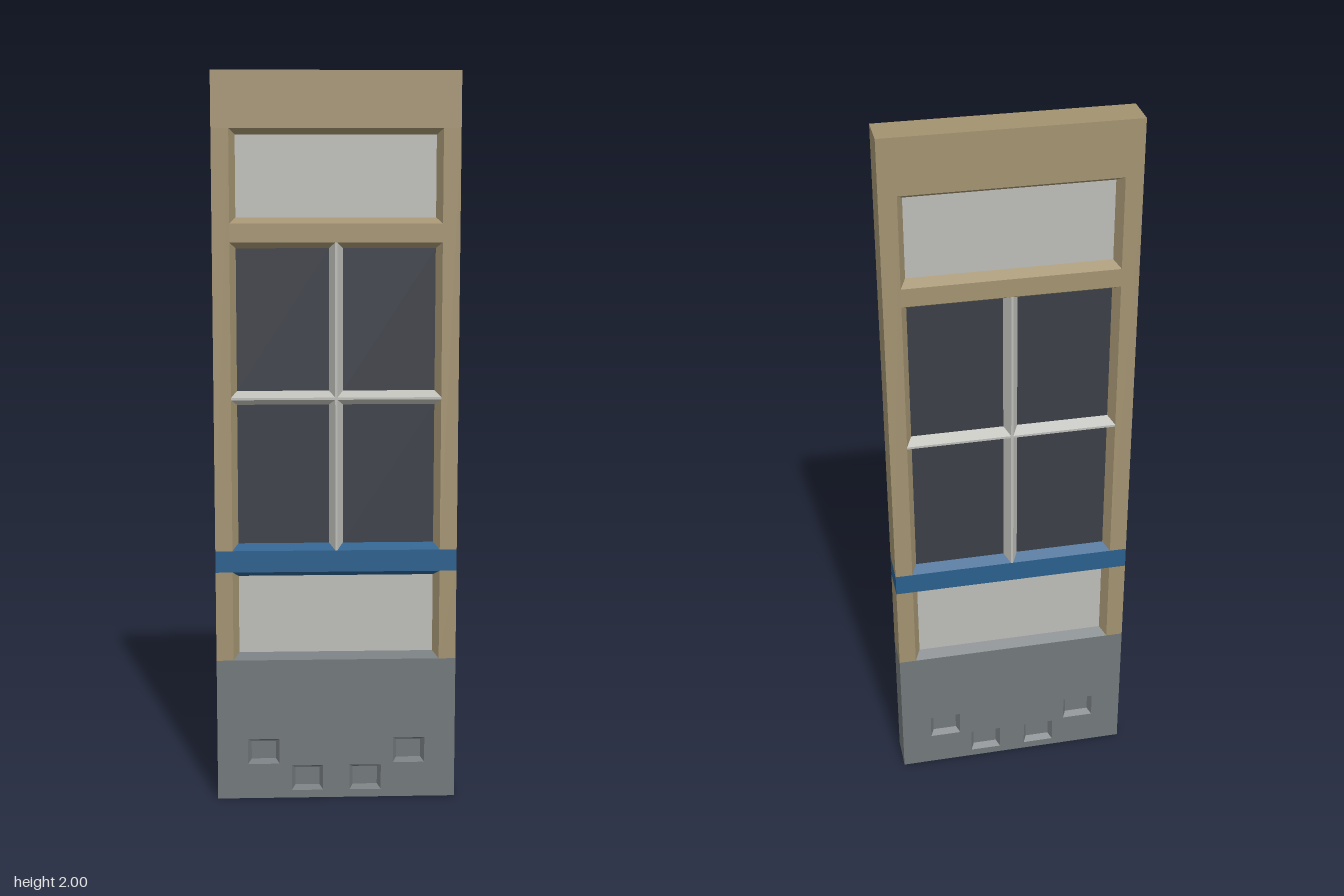
import * as THREE from 'three';

const W = 0.332, H = 2, Z = 0.05;      // half width, height, half thickness
const OX = 0.285;                       // half width of the openings
const BEVEL = 0.016, DEPTH = 0.028;     // sloped reveal around each opening

const mat = (name, color) => {
  const m = new THREE.MeshStandardMaterial({ color });
  m.name = name;
  return m;
};

export function createModel() {
  const tan = mat('tan frame', 0xa29270);
  const grey = mat('grey base', 0x72787b);
  const blue = mat('blue band', 0x2a5f8c);
  const white = mat('off-white panel', 0xbcbcb7);
  const glass = mat('dark glass', 0x3a3e46);

  const add = (parent, name, geometry, material) => {
    const m = new THREE.Mesh(geometry, material);
    m.name = name;
    parent.add(m);
    return m;
  };

  // Flat rectangle facing +z
  const rect = (parent, name, x0, x1, y0, y1, z, material) => {
    const m = add(parent, name, new THREE.PlaneGeometry(x1 - x0, y1 - y0), material);
    m.position.set((x0 + x1) / 2, (y0 + y1) / 2, z);
    return m;
  };

  // Recess with four mitred sloping reveals (bottom, right, top, left) and a back pane
  const opening = (parent, name, [x0, x1, y0, y1], reveals, pane, b = BEVEL, d = DEPTH) => {
    const g = new THREE.Group();
    g.name = name;
    parent.add(g);
    const corners = (i, z) => [
      [x0 + i, y0 + i, z], [x1 - i, y0 + i, z], [x1 - i, y1 - i, z], [x0 + i, y1 - i, z]];
    const outer = corners(0, Z), inner = corners(b, Z - d);
    ['bottom', 'right', 'top', 'left'].forEach((side, k) => {
      const n = (k + 1) % 4;
      const geo = new THREE.BufferGeometry();
      geo.setAttribute('position', new THREE.Float32BufferAttribute(
        [outer[k], outer[n], inner[n], inner[k]].flat(), 3));
      geo.setIndex([0, 1, 2, 0, 2, 3]);
      geo.computeVertexNormals();
      add(g, side + 'Reveal', geo, reveals[k]);
    });
    rect(g, 'pane', x0 + b, x1 - b, y0 + b, y1 - b, Z - d, pane);
  };

  const buildFace = (name) => {
    const f = new THREE.Group();
    f.name = name;

    // Frame rails and stiles
    rect(f, 'topRail', -W, W, 1.85, H, Z, tan);
    rect(f, 'middleRail', -OX, OX, 1.55, 1.6, Z, tan);
    rect(f, 'blueBand', -W, W, 0.65, 0.71, Z, blue);
    for (const [a, b, label] of [[-W, -OX, 'right'], [OX, W, 'left']]) {
      rect(f, label + 'UpperStile', a, b, 0.71, 1.85, Z, tan);
      rect(f, label + 'LowerStile', a, b, 0.4, 0.65, Z, tan);
    }

    // Upper and lower pale panels
    opening(f, 'upperPanel', [-OX, OX, 1.6, 1.85], [tan, tan, tan, tan], white);
    opening(f, 'lowerPanel', [-OX, OX, 0.4, 0.65], [grey, tan, blue, tan], white);

    // Four-pane window with thin glazing bars
    const cy = 1.13, t = 0.003;
    rect(f, 'verticalBar', -t, t, 0.71, 1.55, Z, white);
    for (const [a, b] of [[-OX, -t], [t, OX]]) {
      rect(f, 'horizontalBar', a, b, cy - t, cy + t, Z, white);
      const right = a < 0 ? white : tan, left = a < 0 ? tan : white;
      opening(f, 'upperWindowPane', [a, b, cy + t, 1.55], [white, right, tan, left], glass);
      opening(f, 'lowerWindowPane', [a, b, 0.71, cy - t], [blue, right, white, left], glass);
    }

    // Base with four small recessed vents
    const base = new THREE.Shape([[-W, 0], [W, 0], [W, 0.4], [-W, 0.4]]
      .map(p => new THREE.Vector2(...p)));
    for (const [x, y] of [[-0.203, 0.136], [-0.081, 0.058], [0.081, 0.058], [0.203, 0.136]]) {
      const r = [x - 0.044, x + 0.044, y - 0.036, y + 0.036];
      base.holes.push(new THREE.Path([[r[0], r[2]], [r[0], r[3]], [r[1], r[3]], [r[1], r[2]]]
        .map(p => new THREE.Vector2(...p))));
      opening(f, 'vent', r, [grey, grey, grey, grey], grey, 0.01, 0.018);
    }
    add(f, 'base', new THREE.ShapeGeometry(base), grey).position.z = Z;
    return f;
  };

  const model = new THREE.Group();
  model.name = 'wallPanel';

  // Identical front and back
  model.add(buildFace('frontFace'));
  const back = buildFace('backFace');
  back.rotation.y = Math.PI;
  model.add(back);

  // Outer edges: coloured side strips, top and bottom
  for (const s of [-1, 1]) {
    for (const [y0, y1, m] of [[0, 0.4, grey], [0.4, 0.65, tan], [0.65, 0.71, blue], [0.71, H, tan]]) {
      const e = add(model, 'sideEdge', new THREE.PlaneGeometry(2 * Z, y1 - y0), m);
      e.position.set(s * W, (y0 + y1) / 2, 0);
      e.rotation.y = s * Math.PI / 2;
    }
  }
  const top = add(model, 'topEdge', new THREE.PlaneGeometry(2 * W, 2 * Z), tan);
  top.position.y = H;
  top.rotation.x = -Math.PI / 2;
  const bottom = add(model, 'bottomEdge', new THREE.PlaneGeometry(2 * W, 2 * Z), grey);
  bottom.rotation.x = Math.PI / 2;

  return model;
}
